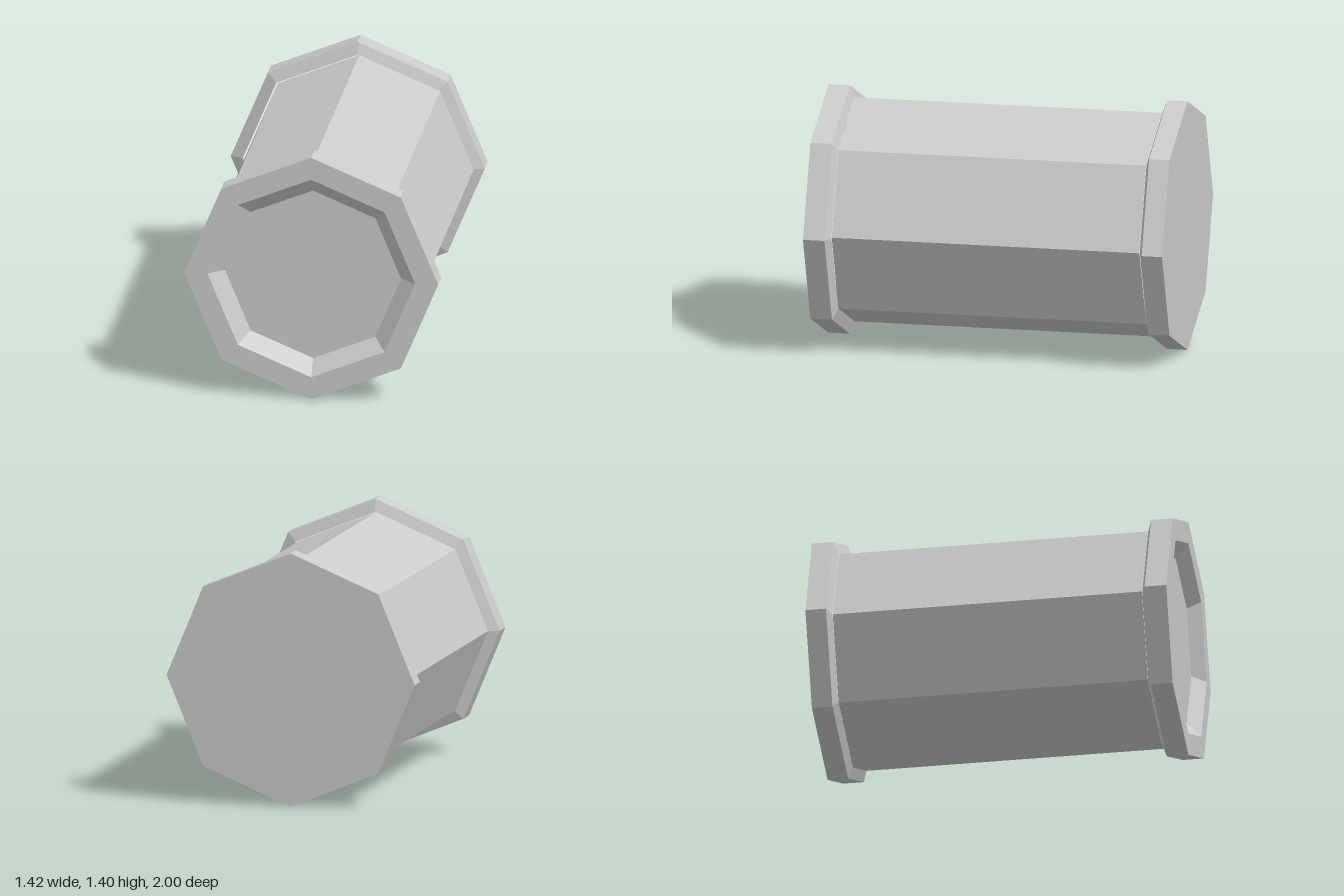
import * as THREE from 'three';

const SIDES = 8;
const CENTRE_Y = 0.703;

export function createModel() {
  const model = new THREE.Group();
  const material = new THREE.MeshStandardMaterial({ color: 0xcccccc, flatShading: true });

  // Octagonal part turned around the z axis; profile is [radius, z] from back to front
  function turned(name, profile, x = 0) {
    const points = profile.map(([r, z]) => new THREE.Vector2(r, z));
    const geometry = new THREE.LatheGeometry(points, SIDES);
    geometry.rotateX(Math.PI / 2);
    const mesh = new THREE.Mesh(geometry, material);
    mesh.name = name;
    mesh.position.set(x, CENTRE_Y, 0);
    model.add(mesh);
  }

  // Main barrel between the two collars
  turned('barrel', [[0.633, -0.862], [0.633, 0.855]]);

  // Back collar, closed by a flat end
  turned('backCollar', [[0, -1], [0.702, -1], [0.702, -0.886], [0.633, -0.862]], -0.011);

  // Front collar with a shallow tapered recess
  turned('frontCollar', [
    [0.633, 0.855], [0.702, 0.88], [0.702, 1],
    [0.574, 1], [0.487, 0.93], [0, 0.93],
  ], 0.009);

  return model;
}
